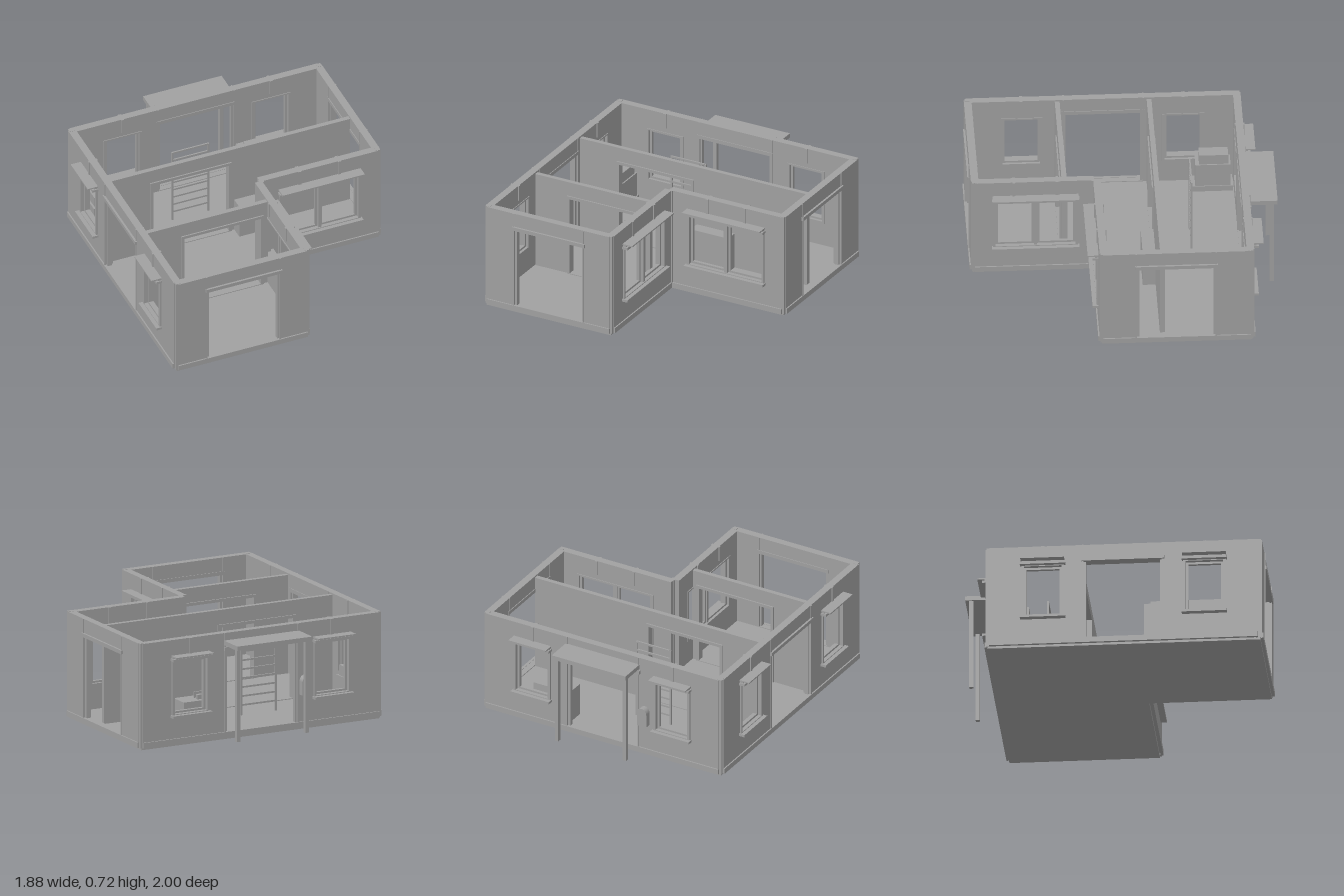
import * as THREE from 'three';

const plaster = new THREE.MeshStandardMaterial({ color: 0xa0a0a0 });
plaster.name = 'plain grey';

const BASE = 0.02, FLOOR = 0.045, TOP = 0.715, THICK = 0.05;

function add(parent, name, geometry) {
  const mesh = new THREE.Mesh(geometry, plaster);
  mesh.name = name;
  parent.add(mesh);
  return mesh;
}

// Box given by its minimum and maximum on each axis
function block(parent, name, x0, x1, y0, y1, z0, z1) {
  const g = new THREE.BoxGeometry(x1 - x0, y1 - y0, z1 - z0);
  g.translate((x0 + x1) / 2, (y0 + y1) / 2, (z0 + z1) / 2);
  return add(parent, name, g);
}

function rectPath(Type, x0, x1, y0, y1) {
  const p = new Type();
  p.moveTo(x0, y0);
  p.lineTo(x1, y0);
  p.lineTo(x1, y1);
  p.lineTo(x0, y1);
  p.closePath();
  return p;
}

// Panel with rectangular holes [x0, x1, y0, y1], extruded from z0 to z1
function pierced(parent, name, outer, holes, z0, z1) {
  const shape = rectPath(THREE.Shape, ...outer);
  holes.forEach(h => shape.holes.push(rectPath(THREE.Path, ...h)));
  const g = new THREE.ExtrudeGeometry(shape, { depth: z1 - z0, bevelEnabled: false });
  g.translate(0, 0, z0);
  return add(parent, name, g);
}

// Window fittings; a and b are the ends of the opening
function windowFittings(wall, a, b, double) {
  const w = new THREE.Group();
  w.name = 'window';
  wall.add(w);
  const mid = (a + b) / 2;
  const panes = double
    ? [[a + 0.02, mid - 0.025, 0.23, 0.555], [mid + 0.025, b - 0.02, 0.23, 0.555]]
    : [[a + 0.02, b - 0.02, 0.23, 0.555]];
  pierced(w, 'windowSash', [a, b, 0.212, 0.575], panes, -0.037, -0.015);
  pierced(w, 'windowCasing', [a - 0.012, b + 0.012, 0.205, 0.58],
    [[a + 0.005, b - 0.005, 0.217, 0.57]], -0.055, 0.012);
  if (double) block(w, 'mullion', mid - 0.01, mid + 0.01, 0.215, 0.572, -0.045, 0.005);
  block(w, 'windowSill', a - 0.02, b + 0.02, 0.195, 0.212, -0.01, 0.04);
  block(w, 'windowHead', a - 0.02, b + 0.02, 0.575, 0.592, -0.01, 0.04);
  block(w, 'headMoulding', a - 0.012, b + 0.012, 0.592, 0.602, -0.01, 0.025);
  block(w, 'windowCornice', a - 0.015, b + 0.015, 0.602, 0.611, -0.01, 0.072);
  // Narrow battens between the cornice and the wall top
  for (const u of double ? [mid - 0.14, mid + 0.14] : [mid]) {
    block(w, 'batten', u - 0.01, u + 0.01, 0.611, TOP, -0.057, 0.007);
  }
}

// Doorway lining, lintel and flanking battens
function doorFittings(wall, a, b) {
  const d = new THREE.Group();
  d.name = 'doorway';
  wall.add(d);
  block(d, 'doorLintel', a - 0.01, b + 0.01, 0.597, 0.622, -0.055, 0.014);
  for (const [u, s] of [[a, 1], [b, -1]]) {
    const jamb = u + s * 0.018;
    block(d, 'doorJamb', Math.min(u, jamb), Math.max(u, jamb), 0.05, 0.6, -0.04, -0.01);
    block(d, 'doorBatten', u - 0.008, u + 0.002, 0.05, TOP, -0.053, 0.006);
  }
}

// Outer wall: outside face at local z = 0, facing local +z.
// from, to and the openings are positions along the world axis of the wall.
function outerWall(parent, name, side, face, from, to, openings) {
  const wall = new THREE.Group();
  wall.name = name;
  parent.add(wall);
  const { angle, sign, alongX } = {
    front: { angle: 0, sign: 1, alongX: true },
    back: { angle: Math.PI, sign: -1, alongX: true },
    right: { angle: Math.PI / 2, sign: -1, alongX: false },
    left: { angle: -Math.PI / 2, sign: 1, alongX: false }
  }[side];
  const mid = (from + to) / 2, half = (to - from) / 2;
  wall.position.set(alongX ? mid : face, 0, alongX ? face : mid);
  wall.rotation.y = angle;
  const list = openings.map(o => {
    const u = [sign * (o.a - mid), sign * (o.b - mid)].sort((p, q) => p - q);
    return { kind: o.kind, a: u[0], b: u[1] };
  });
  pierced(wall, 'wallPanel', [-half, half, BASE, TOP],
    list.map(o => o.kind === 'door' ? [o.a, o.b, 0.05, 0.6] : [o.a, o.b, 0.212, 0.575]),
    -THICK, 0);
  block(wall, 'baseboard', -half, half, 0.015, 0.052, -0.01, 0.009);
  for (const o of list) {
    if (o.kind === 'door') doorFittings(wall, o.a, o.b);
    else windowFittings(wall, o.a, o.b, o.kind === 'double');
  }
}

// Inner wall with one trimmed doorway
function partition(parent, name, z, x0, x1, d0, d1) {
  const p = new THREE.Group();
  p.name = name;
  p.position.z = z;
  parent.add(p);
  pierced(p, 'partitionPanel', [x0, x1, FLOOR, 0.705], [[d0, d1, 0.05, 0.59]], -0.016, 0.016);
  pierced(p, 'partitionDoorTrim', [d0 - 0.015, d1 + 0.015, FLOOR, 0.607],
    [[d0 + 0.005, d1 - 0.005, 0.05, 0.587]], -0.025, 0.025);
}

// L-shaped slab with its top at the given height; e shrinks the outline
function slab(parent, name, top, height, e) {
  const s = new THREE.Shape([
    [-0.86 + e, -0.805 + e], [0.905 - e, -0.805 + e], [0.905 - e, 0.175 - e],
    [0.065 - e, 0.175 - e], [0.065 - e, 0.975 - e], [-0.86 + e, 0.975 - e]
  ].map(([x, z]) => new THREE.Vector2(x, z)));
  const g = new THREE.ExtrudeGeometry(s, { depth: height, bevelEnabled: false });
  g.rotateX(Math.PI / 2);
  g.translate(0, top, 0);
  add(parent, name, g);
}

export function createModel() {
  const house = new THREE.Group();
  house.name = 'house';
  slab(house, 'foundation', BASE, BASE, 0);
  slab(house, 'floor', FLOOR, FLOOR - BASE, 0.02);

  const door = (a, b) => ({ kind: 'door', a, b });
  const single = (a, b) => ({ kind: 'single', a, b });
  const double = (a, b) => ({ kind: 'double', a, b });

  // Outer walls
  outerWall(house, 'frontWall', 'front', 0.985, -0.85, 0.06, [door(-0.65, -0.13)]);
  outerWall(house, 'wingFrontWall', 'front', 0.19, 0.065, 0.9, [double(0.21, 0.76)]);
  outerWall(house, 'innerSideWall', 'right', 0.08, 0.185, 0.96, [double(0.3, 0.83)]);
  outerWall(house, 'leftSideWall', 'right', 0.92, -0.795, 0.17, [door(-0.57, -0.05)]);
  outerWall(house, 'backWall', 'back', -0.817, -0.85, 0.9,
    [single(-0.625, -0.375), door(-0.25, 0.29), single(0.425, 0.675)]);
  outerWall(house, 'rightSideWall', 'left', -0.872, -0.795, 0.96,
    [single(-0.57, -0.315), door(-0.18, 0.34), single(0.485, 0.74)]);

  // Corner posts
  for (const [x, z] of [[-0.85, -0.795], [0.9, -0.795], [0.9, 0.17], [0.06, 0.963], [-0.85, 0.963]]) {
    block(house, 'cornerPost', x - 0.016, x + 0.016, 0.015, TOP + 0.002, z - 0.016, z + 0.016);
  }
  block(house, 'innerCornerPost', 0.06, 0.09, 0.015, TOP, 0.17, 0.2);

  // Inner walls
  partition(house, 'backPartition', -0.22, -0.82, 0.87, -0.53, 0.015);
  partition(house, 'frontPartition', 0.378, -0.82, 0.035, -0.565, -0.015);

  // Slatted room divider
  const divider = new THREE.Group();
  divider.name = 'slattedDivider';
  house.add(divider);
  for (const x of [-0.285, -0.032]) {
    block(divider, 'dividerPost', x, x + 0.012, FLOOR, 0.597, -0.463, -0.451);
  }
  for (let i = 0; i < 9; i++) {
    const y = 0.107 + i * 0.06;
    block(divider, 'dividerSlat', -0.275, -0.03, y, y + 0.012, -0.462, -0.452);
  }

  // Stepped corner stove
  block(house, 'stoveBase', -0.815, -0.69, FLOOR, 0.085, -0.76, -0.495);
  block(house, 'stoveBody', -0.808, -0.696, 0.085, 0.25, -0.745, -0.515);
  block(house, 'stoveTop', -0.795, -0.705, 0.25, 0.32, -0.73, -0.54);

  // Cabinet against the partition, and desk with two upright panels
  block(house, 'cabinet', 0.05, 0.33, FLOOR, 0.29, -0.205, -0.12);
  block(house, 'desk', 0.3, 0.57, FLOOR, 0.27, -0.767, -0.63);
  block(house, 'deskStand', 0.34, 0.45, 0.27, 0.3, -0.735, -0.71);
  block(house, 'deskPanel', 0.34, 0.45, 0.27, 0.31, -0.687, -0.677);

  // Back porch
  block(house, 'porchCanopy', -0.255, 0.3, 0.635, 0.665, -1, -0.81);
  for (const x of [-0.245, 0.265]) {
    block(house, 'porchPost', x, x + 0.026, 0.017, 0.635, -0.975, -0.948);
  }

  // Rounded wall box beside the back door
  const box = new THREE.Shape();
  box.absellipse(-0.295, 0.325, 0.035, 0.04, 0, Math.PI, false);
  box.lineTo(-0.33, 0.235);
  box.lineTo(-0.26, 0.235);
  const boxGeometry = new THREE.ExtrudeGeometry(box, { depth: 0.045, bevelEnabled: false });
  boxGeometry.translate(0, 0, -0.86);
  add(house, 'wallBox', boxGeometry);

  return house;
}
